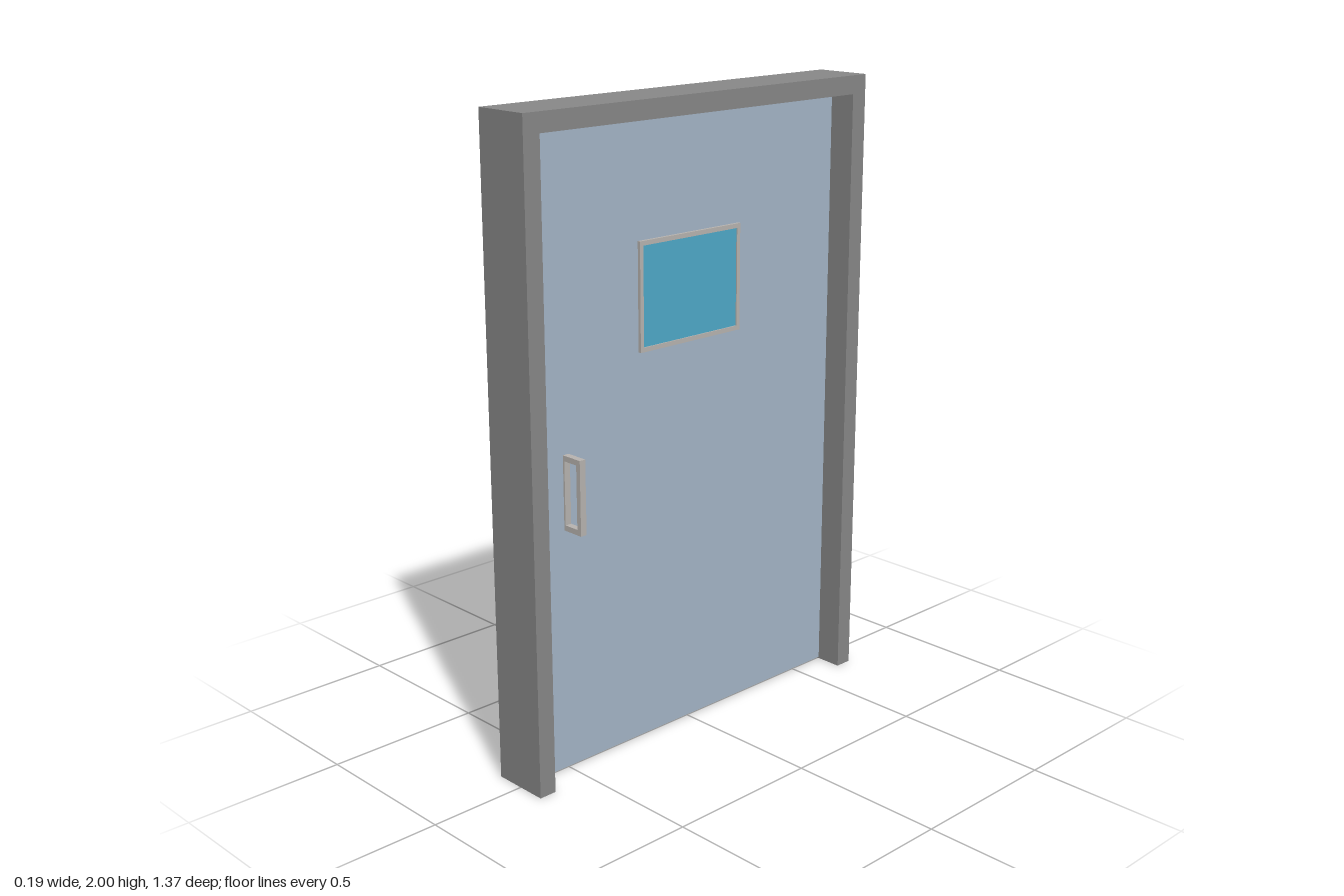
import * as THREE from 'three';

const paint = (color) => new THREE.MeshStandardMaterial({ color });
const frameMat = paint(0x888888);
const doorMat = paint(0xa4b5c7);
const trimMat = paint(0xb8b4b0);
const glassMat = paint(0x4fa9c9);

// Rectangle outline: across the door (u, which becomes -z) and up (y)
function rect(path, u0, u1, y0, y1) {
  path.moveTo(u0, y0);
  path.lineTo(u1, y0);
  path.lineTo(u1, y1);
  path.lineTo(u0, y1);
  path.closePath();
  return path;
}

// Panel lying in the z-y plane, running from x0 to x1 in thickness
function panel(name, shape, x0, x1, material) {
  const geometry = new THREE.ExtrudeGeometry(shape, { depth: x1 - x0, bevelEnabled: false });
  geometry.rotateY(Math.PI / 2);
  geometry.translate(x0, 0, 0);
  const mesh = new THREE.Mesh(geometry, material);
  mesh.name = name;
  return mesh;
}

function box(name, x0, x1, y0, y1, z0, z1, material) {
  const mesh = new THREE.Mesh(new THREE.BoxGeometry(x1 - x0, y1 - y0, z1 - z0), material);
  mesh.position.set((x0 + x1) / 2, (y0 + y1) / 2, (z0 + z1) / 2);
  mesh.name = name;
  return mesh;
}

// Pull handle standing out from one face of the door
function pullHandle(side) {
  const group = new THREE.Group();
  group.name = side > 0 ? 'rightHandle' : 'leftHandle';
  const add = (name, a, b, y0, y1) => group.add(
    box(name, Math.min(a * side, b * side), Math.max(a * side, b * side), y0, y1, 0.484, 0.505, trimMat));
  add('handlePlate', 0.009, 0.016, 0.77, 1.0);
  add('handleGrip', 0.068, 0.084, 0.77, 1.0);
  add('handleLowerPost', 0.016, 0.068, 0.77, 0.787);
  add('handleUpperPost', 0.016, 0.068, 0.983, 1.0);
  return group;
}

export function createModel() {
  const model = new THREE.Group();
  model.name = 'door';

  // Door frame: two jambs and a head in one piece, open at the floor
  const surround = new THREE.Shape();
  [[-0.687, 0], [-0.63, 0], [-0.63, 1.942], [0.63, 1.942], [0.63, 0], [0.687, 0], [0.687, 2], [-0.687, 2]]
    .forEach(([u, y], i) => (i ? surround.lineTo(u, y) : surround.moveTo(u, y)));
  model.add(panel('doorFrame', surround, -0.093, 0.093, frameMat));

  // Door leaf with the window cut out
  const leaf = rect(new THREE.Shape(), -0.625, 0.625, 0.008, 1.937);
  leaf.holes.push(rect(new THREE.Path(), -0.2, 0.2, 1.258, 1.574));
  model.add(panel('doorLeaf', leaf, -0.01, 0.01, doorMat));

  // Window trim and the pane set towards the +x side
  const trim = rect(new THREE.Shape(), -0.207, 0.207, 1.25, 1.583);
  trim.holes.push(rect(new THREE.Path(), -0.194, 0.194, 1.264, 1.569));
  model.add(panel('windowTrim', trim, -0.02, 0.02, trimMat));
  model.add(box('windowPane', 0.009, 0.016, 1.262, 1.571, -0.196, 0.196, glassMat));

  // A handle on each face
  for (const side of [1, -1]) model.add(pullHandle(side));

  return model;
}
